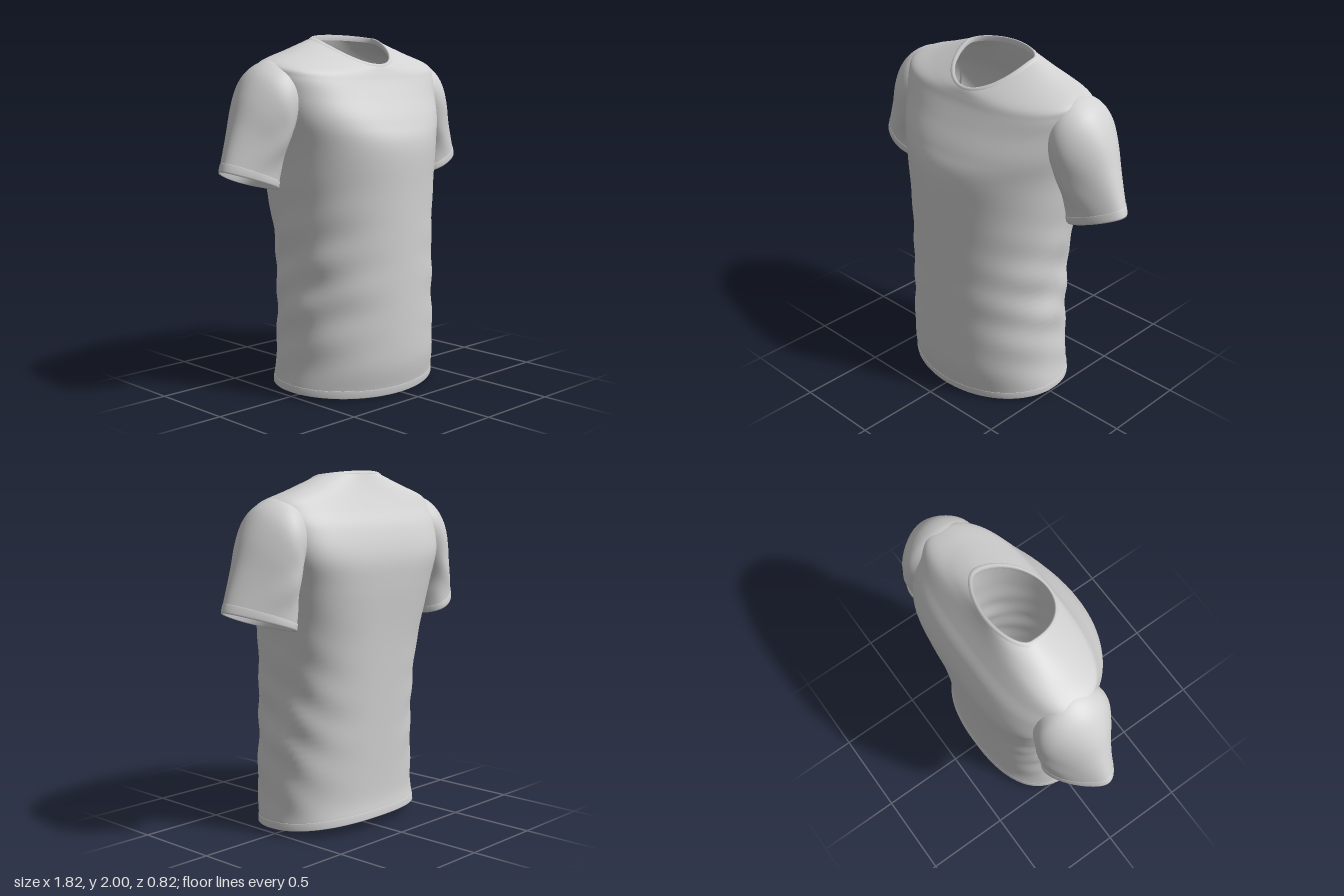
import * as THREE from 'three';

const SEG = 96;

// Smoothly resample a short list of cross-section rows
function resample(rows, steps) {
  const out = [];
  const at = (i) => rows[Math.min(rows.length - 1, Math.max(0, i))];
  for (let i = 0; i < rows.length - 1; i++) {
    for (let k = 0; k < steps; k++) {
      const t = k / steps, t2 = t * t, t3 = t2 * t;
      out.push(at(i).map((b, j) => {
        const a = at(i - 1)[j], c = at(i + 1)[j], d = at(i + 2)[j];
        return 0.5 * (2 * b + (c - a) * t + (2 * a - 5 * b + 4 * c - d) * t2 + (3 * b - a - 3 * c + d) * t3);
      }));
    }
  }
  out.push(at(rows.length - 1));
  return out;
}

// Skin closed loops; skip(centre) leaves holes
function loft(rows, pointAt, skip) {
  const pos = [], index = [];
  const pts = rows.map((r) => Array.from({ length: SEG }, (_, j) => pointAt(r, (j / SEG) * Math.PI * 2)));
  pts.forEach((loop) => loop.forEach((p) => pos.push(p.x, p.y, p.z)));
  for (let i = 0; i < rows.length - 1; i++) {
    for (let j = 0; j < SEG; j++) {
      const k = (j + 1) % SEG;
      if (skip && skip(pts[i][j].clone().add(pts[i + 1][k]).multiplyScalar(0.5))) continue;
      const a = i * SEG + j, b = a + SEG, c = i * SEG + k, d = c + SEG;
      index.push(a, b, c, b, d, c);
    }
  }
  const g = new THREE.BufferGeometry();
  g.setAttribute('position', new THREE.Float32BufferAttribute(pos, 3));
  g.setIndex(index);
  g.computeVertexNormals();
  return g;
}

const spow = (v, e) => Math.sign(v) * Math.pow(Math.abs(v), e);
const bump = (v, c, r) => Math.exp(-(((v - c) / r) ** 2));

// Body loop: yFront, ySide, yBack, half width, zFront, zBack, zSide, front and back squareness
function bodyPoint([yF, yS, yB, w, zF, zB, zS, nF, nB], a) {
  const c = Math.cos(a), s = Math.sin(a), n = s > 0 ? nF : nB;
  const lift = Math.pow(Math.abs(s), 1.3);
  const y = yS + ((s > 0 ? yF : yB) - yS) * lift;
  const p = new THREE.Vector3(w * spow(c, 2 / n), y, zS + (s > 0 ? zF - zS : zS - zB) * spow(s, 2 / n));
  // Cloth folds gathered along the waist sides, sagging towards the front
  const side = Math.pow(Math.abs(c), 1.6);
  const drape = bump(y, 0.62, 0.42) * side;
  const fold = Math.sin(y * 27 - s * (s > 0 ? 4 : 7) + (c > 0 ? 0 : 1.3)) + 0.5 * Math.sin(y * 15 + s * 5);
  const d = 1 + 0.015 * drape * fold;
  p.x *= d;
  p.z *= d;
  return p;
}

// Sleeve loop: top x, top y, underside x, underside y, zFront, zBack, pinch of the upper edge
const sleevePoint = (side) => ([tx, ty, bx, by, zF, zB, pinch], a) => {
  const c = Math.cos(a), s = -side * Math.sin(a);
  const x = (tx + bx) / 2 + ((tx - bx) / 2) * c;
  const y = (ty + by) / 2 + ((ty - by) / 2) * c;
  const crease = 0.008 * Math.sin(y * 24 + x * 18) * bump(y, 1.4, 0.14) * (0.5 - 0.5 * c);
  const z = (zF + zB) / 2 + ((zF - zB) / 2 + crease) * s * (1 - pinch * c) + 0.1 * pinch * c;
  return new THREE.Vector3(side * x, y, z);
};

export function createModel() {
  const shirt = new THREE.Group();
  shirt.name = 'tShirt';
  const cloth = new THREE.MeshStandardMaterial({ color: 0xd2d2d2, side: THREE.DoubleSide });
  cloth.name = 'lightGreyCloth';
  const add = (name, geometry) => {
    const m = new THREE.Mesh(geometry, cloth);
    m.name = name;
    shirt.add(m);
  };

  // Body, from hem seam to neckline, with arm openings
  const body = [
    [0.045, 0.075, 0.105, 0.515, 0.375, -0.337, 0, 2, 2.4],
    [0.2, 0.2, 0.21, 0.502, 0.402, -0.33, 0, 2, 2.4],
    [0.5, 0.5, 0.5, 0.487, 0.408, -0.34, 0, 2, 2.4],
    [0.8, 0.8, 0.8, 0.478, 0.408, -0.355, 0, 2, 2.5],
    [1.1, 1.1, 1.1, 0.503, 0.408, -0.375, -0.03, 2, 2.7],
    [1.38, 1.38, 1.38, 0.537, 0.408, -0.402, -0.065, 2.1, 3.2],
    [1.52, 1.56, 1.54, 0.575, 0.36, -0.405, -0.085, 2.3, 3.5],
    [1.65, 1.7, 1.69, 0.598, 0.287, -0.363, -0.085, 2.4, 3.2],
    [1.735, 1.79, 1.79, 0.608, 0.24, -0.305, -0.085, 2.5, 2.9],
    [1.78, 1.846, 1.87, 0.588, 0.22, -0.26, -0.085, 2.4, 2.6],
    [1.808, 1.907, 1.935, 0.42, 0.208, -0.228, -0.085, 2.2, 2.2],
    [1.824, 1.968, 1.985, 0.256, 0.2, -0.207, -0.085, 2, 1.9],
  ];
  const armOpening = (p) => Math.abs(p.x) > 0.42 && ((p.z + 0.09) / 0.14) ** 2 + ((p.y - 1.63) / 0.155) ** 2 < 1;
  add('body', loft(resample(body, 8), bodyPoint, armOpening));

  // Bottom hem, folded inside
  add('bottomHem', loft([
    [0.05, 0.08, 0.11, 0.507, 0.366, -0.33, 0, 2, 2.4],
    [0.005, 0.038, 0.065, 0.512, 0.364, -0.335, 0, 2, 2.4],
    [0, 0.034, 0.06, 0.517, 0.368, -0.339, 0, 2, 2.4],
    [0.005, 0.038, 0.065, 0.521, 0.372, -0.342, 0, 2, 2.4],
    [0.043, 0.073, 0.103, 0.517, 0.377, -0.339, 0, 2, 2.4],
    [0.045, 0.075, 0.105, 0.514, 0.374, -0.336, 0, 2, 2.4],
  ].reverse(), bodyPoint));

  // Neckband, rolled over the neckline
  add('neckband', loft([
    [1.822, 1.964, 1.982, 0.258, 0.202, -0.209, -0.085, 2, 1.9],
    [1.829, 1.971, 1.99, 0.252, 0.201, -0.208, -0.085, 2, 1.9],
    [1.836, 1.979, 2.0, 0.235, 0.193, -0.198, -0.085, 2, 1.9],
    [1.832, 1.975, 1.997, 0.226, 0.186, -0.19, -0.085, 2, 1.9],
    [1.812, 1.95, 1.968, 0.23, 0.188, -0.193, -0.085, 2, 1.9],
  ], bodyPoint));

  // Sleeves and their cuffs
  const sleeve = [
    [0.53, 1.862, 0.49, 1.44, 0.11, -0.28, 0],
    [0.605, 1.845, 0.52, 1.415, 0.128, -0.305, 0],
    [0.69, 1.785, 0.53, 1.38, 0.13, -0.312, 0.08],
    [0.765, 1.668, 0.535, 1.33, 0.112, -0.3, 0.18],
    [0.825, 1.515, 0.535, 1.275, 0.088, -0.285, 0.27],
    [0.873, 1.388, 0.535, 1.225, 0.07, -0.27, 0.33],
    [0.894, 1.328, 0.535, 1.195, 0.063, -0.264, 0.35],
  ];
  const cuff = [
    [0.893, 1.328, 0.536, 1.196, 0.062, -0.263, 0.35],
    [0.897, 1.326, 0.533, 1.193, 0.066, -0.267, 0.35],
    [0.909, 1.29, 0.536, 1.165, 0.065, -0.267, 0.36],
    [0.909, 1.28, 0.54, 1.158, 0.061, -0.263, 0.36],
    [0.902, 1.283, 0.546, 1.164, 0.056, -0.257, 0.36],
    [0.887, 1.32, 0.545, 1.2, 0.055, -0.256, 0.35],
  ];
  for (const [name, side] of [['left', 1], ['right', -1]]) {
    add(name + 'Sleeve', loft(resample(sleeve, 6), sleevePoint(side)));
    add(name + 'Cuff', loft(cuff, sleevePoint(side)));
  }
  return shirt;
}
